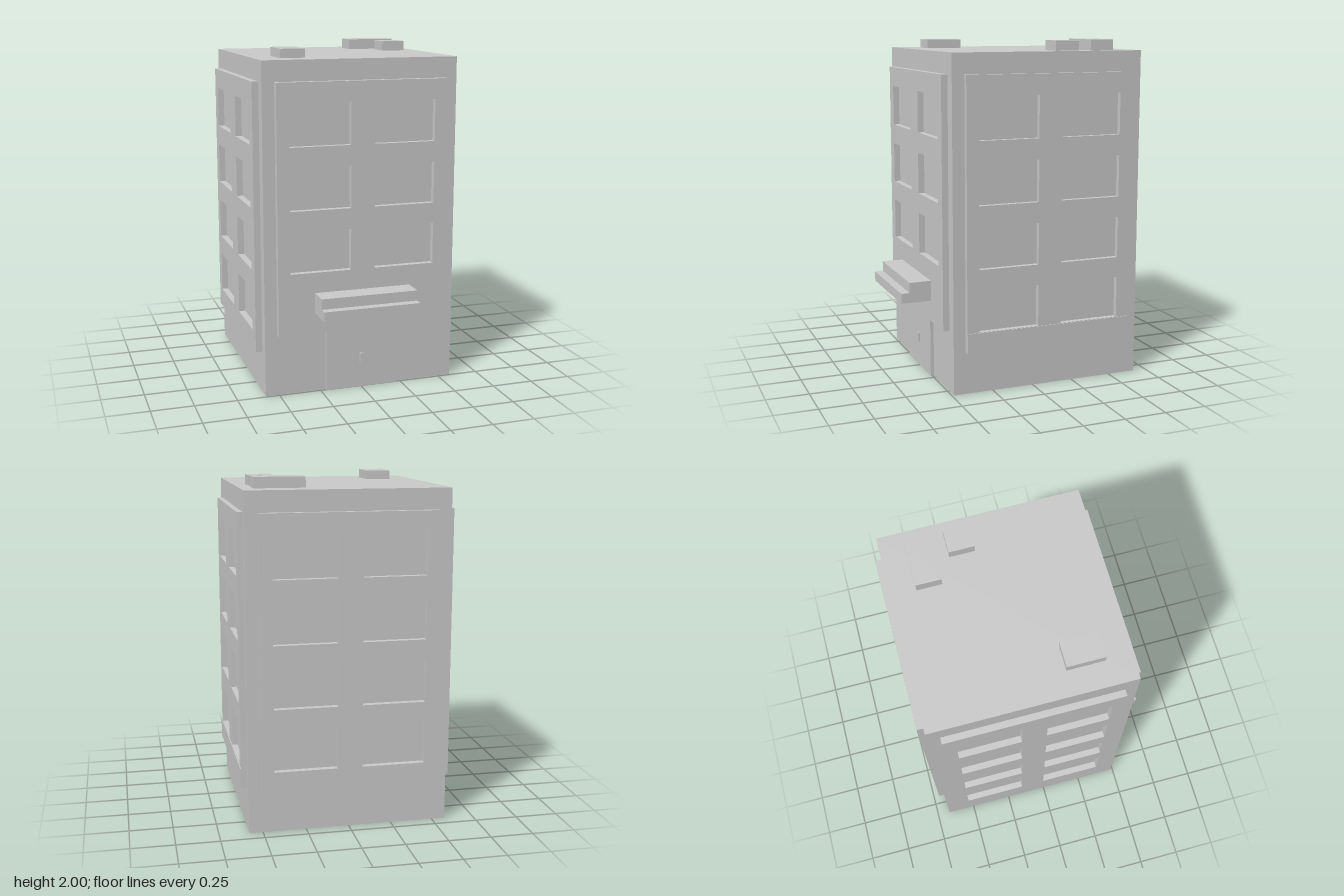
import * as THREE from 'three';

const grey = new THREE.MeshStandardMaterial({ color: 0xcccccc, flatShading: true });

function box(name, x0, x1, y0, y1, z0, z1) {
  const mesh = new THREE.Mesh(new THREE.BoxGeometry(x1 - x0, y1 - y0, z1 - z0), grey);
  mesh.position.set((x0 + x1) / 2, (y0 + y1) / 2, (z0 + z1) / 2);
  mesh.name = name;
  return mesh;
}

function rectangle(target, x0, x1, y0, y1) {
  target.moveTo(x0, y0);
  target.lineTo(x1, y0);
  target.lineTo(x1, y1);
  target.lineTo(x0, y1);
  target.closePath();
  return target;
}

// Raised wall panel with two columns of window openings
function windowPanel(name, bottom, rows, depth, x, z, angle) {
  const shape = rectangle(new THREE.Shape(), -0.508, 0.508, bottom, 1.818);
  for (let row = 0; row < rows; row++) {
    const top = 1.7 - row * 0.364;
    for (const cx of [-0.254, 0.254]) {
      shape.holes.push(rectangle(new THREE.Path(), cx - 0.182, cx + 0.182, top - 0.243, top));
    }
  }
  const geometry = new THREE.ExtrudeGeometry(shape, { depth, bevelEnabled: false });
  const mesh = new THREE.Mesh(geometry, grey);
  mesh.position.set(x, 0, z);
  mesh.rotation.y = angle;
  mesh.name = name;
  return mesh;
}

export function createModel() {
  const model = new THREE.Group();
  model.name = 'apartmentBuilding';

  const W = 0.58, FRONT = 0.488, BACK = -0.672, ROOF = 1.938;
  const MID = (FRONT + BACK) / 2;
  model.add(box('body', -W, W, 0, ROOF, BACK, FRONT));

  // Window panels on all four walls
  model.add(windowPanel('frontWindowPanel', 0.363, 3, 0.037, 0, FRONT, 0));
  model.add(windowPanel('backWindowPanel', 0.248, 4, 0.037, 0, BACK, Math.PI));
  model.add(windowPanel('leftWindowPanel', 0.248, 4, 0.031, W, MID, Math.PI / 2));
  model.add(windowPanel('rightWindowPanel', 0.248, 4, 0.038, -W, MID, -Math.PI / 2));
  model.add(box('leftPanelSill', W, 0.616, 0.248, 0.363, MID - 0.508, MID + 0.508));

  // Entrance
  model.add(box('door', -0.217, 0.217, 0, 0.363, FRONT, 0.509));
  model.add(box('doorHandle', -0.011, 0.011, 0.152, 0.21, 0.509, 0.52));

  // Stepped canopy
  model.add(box('canopyLower', -0.29, 0.29, 0.488, 0.547, 0.525, 0.706));
  model.add(box('canopyUpper', -0.29, 0.29, 0.547, 0.608, 0.525, 0.655));

  // Rooftop units
  model.add(box('roofVentFront', -0.435, -0.29, ROOF, 1.99, 0.125, 0.342));
  model.add(box('roofVentLong', 0.218, 0.508, ROOF, 2.0, -0.528, -0.384));
  model.add(box('roofVentSmall', 0.364, 0.508, ROOF, 1.996, -0.31, -0.165));

  return model;
}
